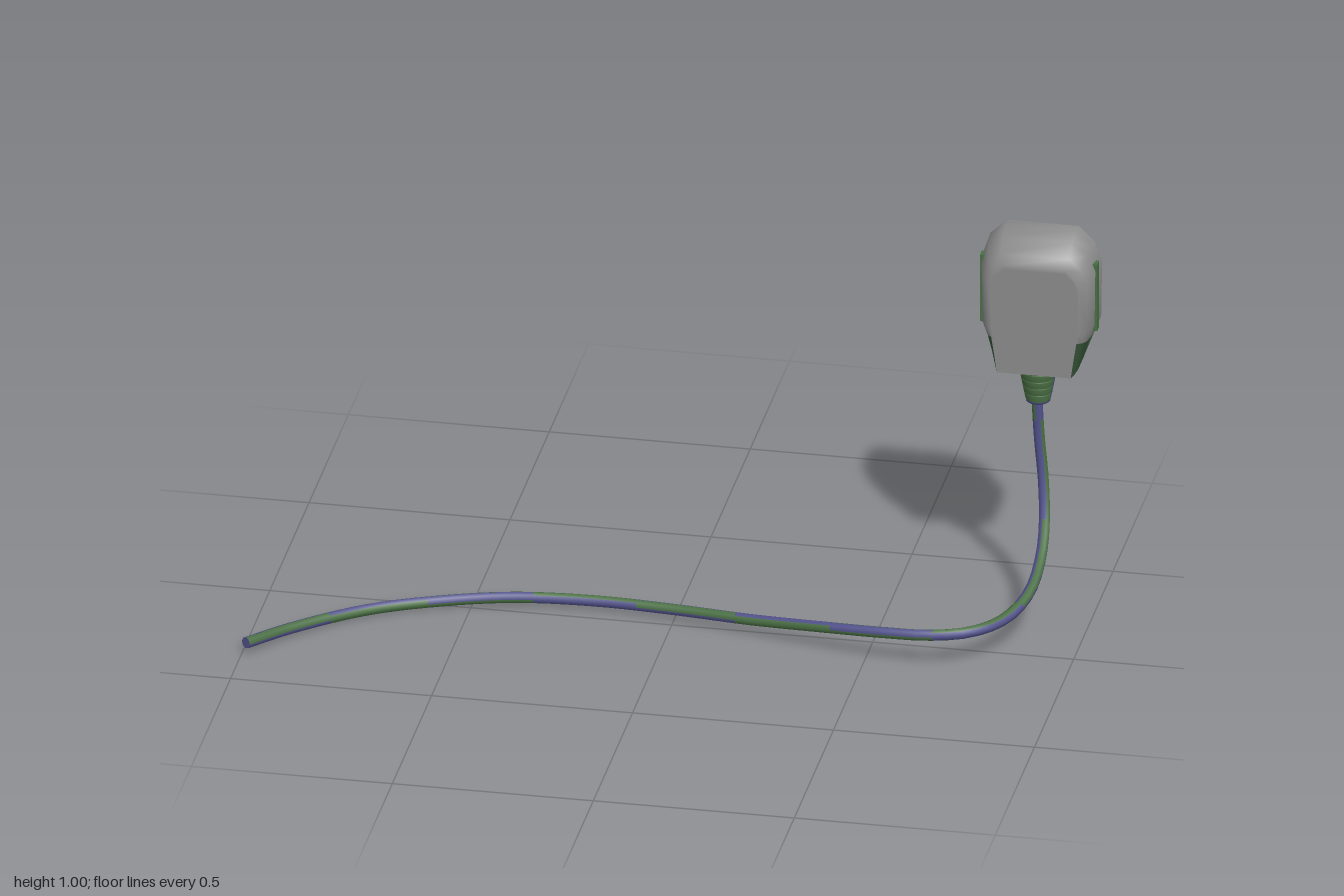
import * as THREE from 'three';
import { toCreasedNormals } from 'three/addons/utils/BufferGeometryUtils.js';

const grey = new THREE.MeshStandardMaterial({ color: 0x8c8c8c });
const green = new THREE.MeshStandardMaterial({ color: 0x4a7044 });
const darkGreen = new THREE.MeshStandardMaterial({ color: 0x38573a });
const blue = new THREE.MeshStandardMaterial({ color: 0x52528c });

const CX = 0.852; // head centre line

function add(group, name, geometry, material) {
  const mesh = new THREE.Mesh(geometry, material);
  mesh.name = name;
  group.add(mesh);
  return mesh;
}

// Closed outline, counter-clockwise from +z, from its right half (bottom to top)
const mirrorOutline = half => [...half, ...half.slice().reverse().map(([x, y]) => [-x, y])];

// Keeps only the quads of a tube whose (ring, side) passes the test
function tubeStripe(tube, rings, sides, test) {
  const geometry = tube.clone();
  const source = tube.index.array, index = [];
  for (let i = 0; i < rings; i++)
    for (let j = 0; j < sides; j++)
      if (test(i, j)) index.push(...source.slice((i * sides + j) * 6, (i * sides + j + 1) * 6));
  geometry.setIndex(index);
  return geometry;
}

function createCable() {
  const group = new THREE.Group();
  group.name = 'cable';
  const path = new THREE.CatmullRomCurve3([
    [-0.99, 0.031, 0.356], [-0.9, 0.023, 0.237], [-0.74, 0.017, 0.09], [-0.58, 0.017, 0.01],
    [-0.4, 0.022, -0.037], [-0.2, 0.025, -0.049], [0, 0.03, -0.029], [0.2, 0.042, 0.015],
    [0.4, 0.065, 0.068], [0.55, 0.08, 0.1], [0.66, 0.086, 0.106], [0.76, 0.092, 0.08],
    [0.83, 0.097, 0], [0.87, 0.124, -0.1], [0.88, 0.178, -0.2], [0.876, 0.245, -0.262],
    [0.866, 0.34, -0.298], [0.855, 0.44, -0.307], [0.848, 0.57, -0.305],
  ].map(p => new THREE.Vector3(...p)));
  const rings = 72, sides = 8;
  const tube = new THREE.TubeGeometry(path, rings, 0.0145, sides);
  const isBlue = (i, j) => (j + Math.floor(i / 7)) % 4 < 2;
  add(group, 'blueCableStripe', tubeStripe(tube, rings, sides, isBlue), blue);
  add(group, 'greenCableStripe', tubeStripe(tube, rings, sides, (i, j) => !isBlue(i, j)), green);
  const end = add(group, 'cableEnd', new THREE.CircleGeometry(0.0145, sides), blue);
  end.position.copy(path.getPoint(0));
  end.lookAt(end.position.clone().sub(path.getTangent(0)));
  return group;
}

// Tapered sleeve with shallow rings where the cable enters the head
function createSleeve() {
  const group = new THREE.Group();
  group.name = 'strainRelief';
  const profile = [[0.031, 0.553]];
  for (let i = 0; i < 4; i++) {
    const y = 0.57 + i * 0.02, r = 0.0345 + i * 0.0038;
    profile.push([r, y], [r - 0.0015, y + 0.001], [r - 0.0015, y + 0.003], [r + 0.0008, y + 0.004]);
  }
  profile.push([0.048, 0.645]);
  const points = profile.map(p => new THREE.Vector2(...p));
  const stripe = 0.5;
  for (const [side, angle] of [['left', Math.PI / 2], ['right', -Math.PI / 2]]) {
    add(group, side + 'SleeveStripe', new THREE.LatheGeometry(points, 3, angle - stripe / 2, stripe), blue);
    add(group, side + 'SleeveSector', new THREE.LatheGeometry(points, 8, angle + stripe / 2, Math.PI - stripe), green);
  }
  const rim = [[0, 0.545], [0.026, 0.545], [0.03, 0.548], [0.031, 0.553]].map(p => new THREE.Vector2(...p));
  add(group, 'sleeveRim', new THREE.LatheGeometry(rim, 20), blue);
  group.position.set(CX, 0, -0.306);
  return group;
}

// Head shell lofted through outlines from back to front
function createHead() {
  const group = new THREE.Group();
  group.name = 'head';
  const sections = [
    [-0.365, [[0.1, 0.64], [0.115, 0.69], [0.128, 0.717], [0.145, 0.76], [0.147, 0.91], [0.13, 0.96], [0.09, 0.998]]],
    [-0.34, [[0.1, 0.64], [0.115, 0.69], [0.127, 0.717], [0.144, 0.76], [0.146, 0.91], [0.128, 0.96], [0.088, 0.998]]],
    [-0.3, [[0.1, 0.64], [0.113, 0.69], [0.123, 0.72], [0.138, 0.76], [0.14, 0.905], [0.123, 0.95], [0.086, 0.985]]],
    [-0.265, [[0.096, 0.64], [0.107, 0.69], [0.117, 0.73], [0.128, 0.76], [0.13, 0.89], [0.115, 0.925], [0.085, 0.955]]],
    [-0.249, [[0.092, 0.64], [0.099, 0.69], [0.106, 0.735], [0.112, 0.76], [0.114, 0.875], [0.104, 0.906], [0.08, 0.93]]],
  ].map(([z, half]) => ({ z, ring: mirrorOutline(half) }));
  // Flat front face inside the rounded rim
  const rim = sections[sections.length - 1];
  sections.push({ z: rim.z, ring: rim.ring.map(([x, y]) => [x * 0.94, 0.785 + (y - 0.785) * 0.94]) });

  const n = rim.ring.length, front = (sections.length - 1) * n;
  const positions = sections.flatMap(({ z, ring }) => ring.flatMap(([x, y]) => [x, y, z]));
  const greyIndex = [], greenIndex = [];
  for (let s = 0; s < sections.length - 1; s++)
    for (let j = 0; j < n; j++) {
      const a = s * n + j, b = s * n + (j + 1) % n;
      const lower = s < sections.length - 2 && (j < 2 || j >= n - 3);
      (lower ? greenIndex : greyIndex).push(a, b, b + n, a, b + n, a + n);
    }
  for (let j = 1; j < n - 1; j++) {
    greyIndex.push(front, front + j, front + j + 1);
    greenIndex.push(0, j + 1, j);
  }
  const shell = (name, index, material) => {
    const geometry = new THREE.BufferGeometry();
    geometry.setAttribute('position', new THREE.Float32BufferAttribute(positions, 3));
    geometry.setIndex(index);
    add(group, name, toCreasedNormals(geometry, 0.9), material);
  };
  shell('upperShell', greyIndex, grey);
  shell('lowerShell', greenIndex, darkGreen);

  // Thin back panels separated by green bands
  const panel = (name, half) => {
    const shape = new THREE.Shape(mirrorOutline(half).map(p => new THREE.Vector2(...p)));
    const geometry = new THREE.ExtrudeGeometry(shape, { depth: 0.003, bevelEnabled: false });
    add(group, name, geometry, grey).position.z = -0.367;
  };
  panel('backPlate', [[0.128, 0.717], [0.145, 0.76], [0.147, 0.91], [0.132, 0.955]]);
  panel('topLip', [[0.11, 0.979], [0.09, 0.998]]);
  panel('lowerBackStrip', [[0.11, 0.673], [0.115, 0.69], [0.12, 0.7]]);

  // Grip strips on both sides
  for (const side of [-1, 1])
    add(group, side > 0 ? 'leftGrip' : 'rightGrip', new THREE.BoxGeometry(0.012, 0.18, 0.025), green)
      .position.set(side * 0.14, 0.835, -0.322);
  group.position.x = CX;
  return group;
}

export function createModel() {
  const model = new THREE.Group();
  model.name = 'cableWithPlugHead';
  model.add(createCable(), createSleeve(), createHead());
  return model;
}
